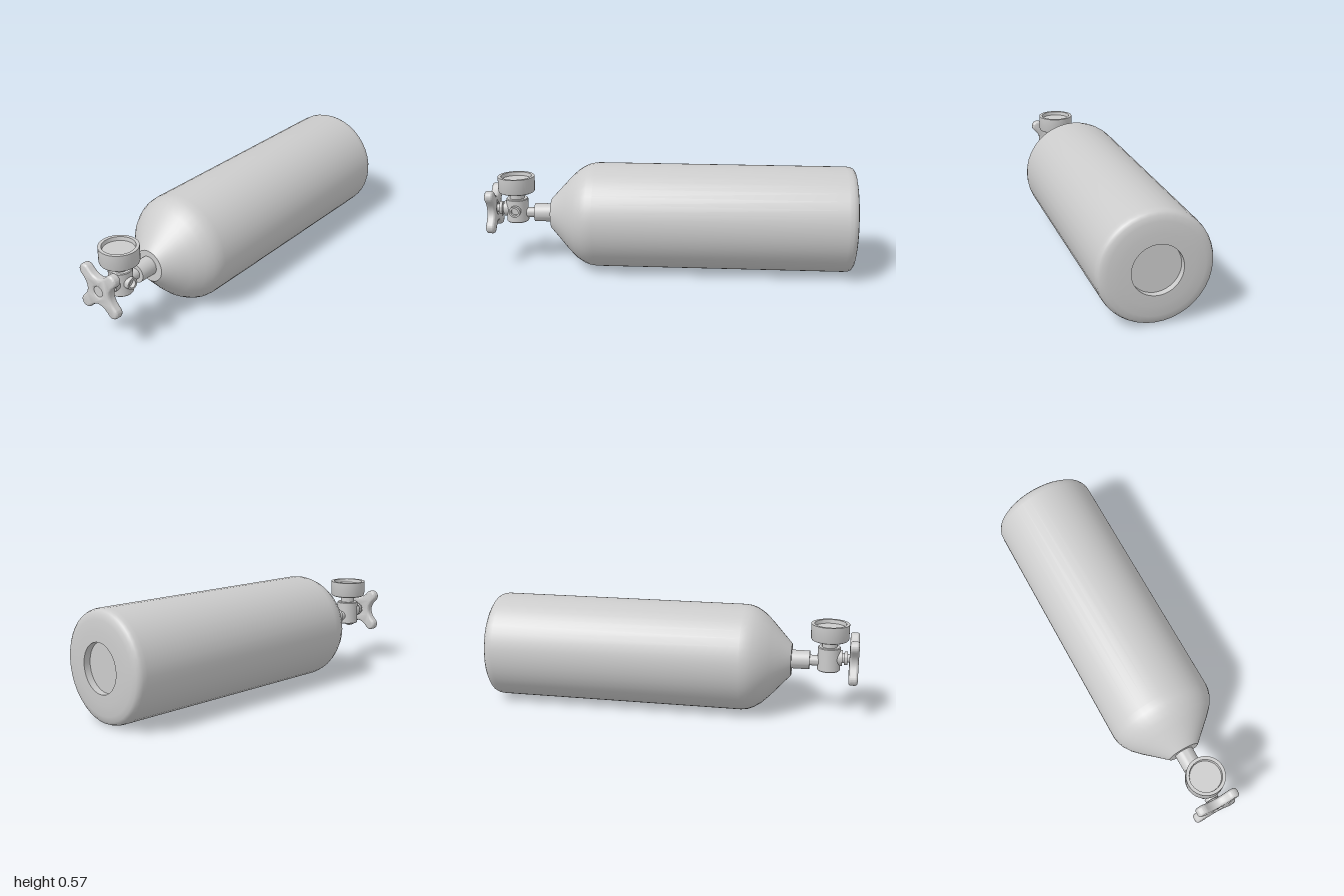
import * as THREE from 'three';
import { toCreasedNormals } from 'three/addons/utils/BufferGeometryUtils.js';

const material = new THREE.MeshStandardMaterial({ color: 0xcccccc });

function addMesh(group, name, geometry, crease = 0.6) {
  const mesh = new THREE.Mesh(toCreasedNormals(geometry, crease), material);
  mesh.name = name;
  group.add(mesh);
  return mesh;
}

// Revolve [radius, height] pairs, listed from low to high along the axis
function lathe(profile, segments = 32) {
  return new THREE.LatheGeometry(profile.map(([r, h]) => new THREE.Vector2(r, h)), segments);
}

// Lay an upright revolved shape along +x at height y
function alongX(geometry, y) {
  return geometry.rotateZ(-Math.PI / 2).translate(0, y, 0);
}

// Four-lobed star outline with concave valleys and a round central hole
function starShape() {
  const reach = 0.122, w = 0.033, dip = 0.027;
  const shape = new THREE.Shape();
  const at = (a, u, v) => [u * Math.cos(a) - v * Math.sin(a), u * Math.sin(a) + v * Math.cos(a)];
  shape.moveTo(...at(Math.PI / 4, reach, -w));
  for (let k = 0; k < 4; k++) {
    const a = Math.PI / 4 + k * Math.PI / 2;
    shape.absarc(...at(a, reach, 0), w, a - Math.PI / 2, a + Math.PI / 2, false);
    shape.quadraticCurveTo(...at(a, dip, dip), ...at(a + Math.PI / 2, reach, -w));
  }
  const hole = new THREE.Path();
  hole.absarc(0, 0, 0.026, 0, Math.PI * 2, true);
  shape.holes.push(hole);
  return shape;
}

export function createModel() {
  const model = new THREE.Group();
  model.name = 'gasCylinder';
  const axisY = 0.286, valveX = -0.845, valveY = 0.31;

  // Tank body with tapered shoulder, rounded base rim and recessed base
  addMesh(model, 'tank', alongX(lathe([
    [0, -0.65], [0.085, -0.65], [0.094, -0.642], [0.145, -0.595], [0.2, -0.545],
    [0.243, -0.5], [0.268, -0.46], [0.28, -0.43], [0.285, -0.395],
    [0.285, 0.94], [0.283, 0.962], [0.276, 0.978], [0.262, 0.988], [0.235, 0.994],
    [0.18, 0.999], [0.127, 1], [0.127, 0.965], [0, 0.965],
  ], 40), axisY));

  // Neck and the thinner pipe leading to the valve
  addMesh(model, 'neck', alongX(lathe([
    [0, -0.745], [0.05, -0.745], [0.05, -0.64], [0, -0.64],
  ]), 0.289));
  addMesh(model, 'neckPipe', alongX(lathe([
    [0, -0.84], [0.028, -0.84], [0.028, -0.74], [0, -0.74],
  ], 24), 0.289));

  // Upright valve body and gauge stem
  addMesh(model, 'valveBody', lathe([
    [0, 0.24], [0.056, 0.24], [0.06, 0.244], [0.06, 0.366], [0.056, 0.37], [0, 0.37],
  ]).translate(valveX, 0, 0));
  addMesh(model, 'gaugeStem', lathe([
    [0, 0.36], [0.04, 0.36], [0.04, 0.41], [0, 0.41],
  ]).translate(valveX, 0, 0));

  // Gauge cup with raised rim and sunken dial
  addMesh(model, 'gauge', lathe([
    [0, 0.405], [0.088, 0.405], [0.096, 0.409], [0.1, 0.418], [0.1, 0.495],
    [0.083, 0.495], [0.08, 0.475], [0, 0.475],
  ], 40).translate(valveX, 0, 0));

  // Hollow outlet port on the front of the valve
  addMesh(model, 'outletPort', lathe([
    [0, 0.03], [0.031, 0.03], [0.031, 0.08], [0.02, 0.08], [0.02, 0.06], [0, 0.06],
  ], 24).rotateX(Math.PI / 2).translate(valveX, valveY, 0));

  // Stepped spindle joining the valve to the hand knob
  addMesh(model, 'spindle', alongX(lathe([
    [0, -0.965], [0.022, -0.965], [0.022, -0.942], [0.036, -0.942], [0.036, -0.925],
    [0.026, -0.925], [0.026, -0.915], [0.042, -0.915], [0.042, -0.86], [0, -0.86],
  ], 24), valveY));

  // Star-shaped hand knob with rounded edges and a hub cap
  const knob = new THREE.Group();
  knob.name = 'handKnob';
  const star = new THREE.ExtrudeGeometry(starShape(), {
    depth: 0.02, bevelEnabled: true, bevelThickness: 0.014, bevelSize: 0.014,
    bevelOffset: -0.014, bevelSegments: 4, curveSegments: 10,
  });
  addMesh(knob, 'knobStar', star.translate(0, 0, -0.01).rotateY(-Math.PI / 2));
  addMesh(knob, 'knobHub', alongX(lathe([
    [0, -0.018], [0.041, -0.018], [0.041, 0.018], [0, 0.018],
  ]), 0));
  knob.position.set(-0.976, valveY, 0);
  model.add(knob);

  return model;
}
